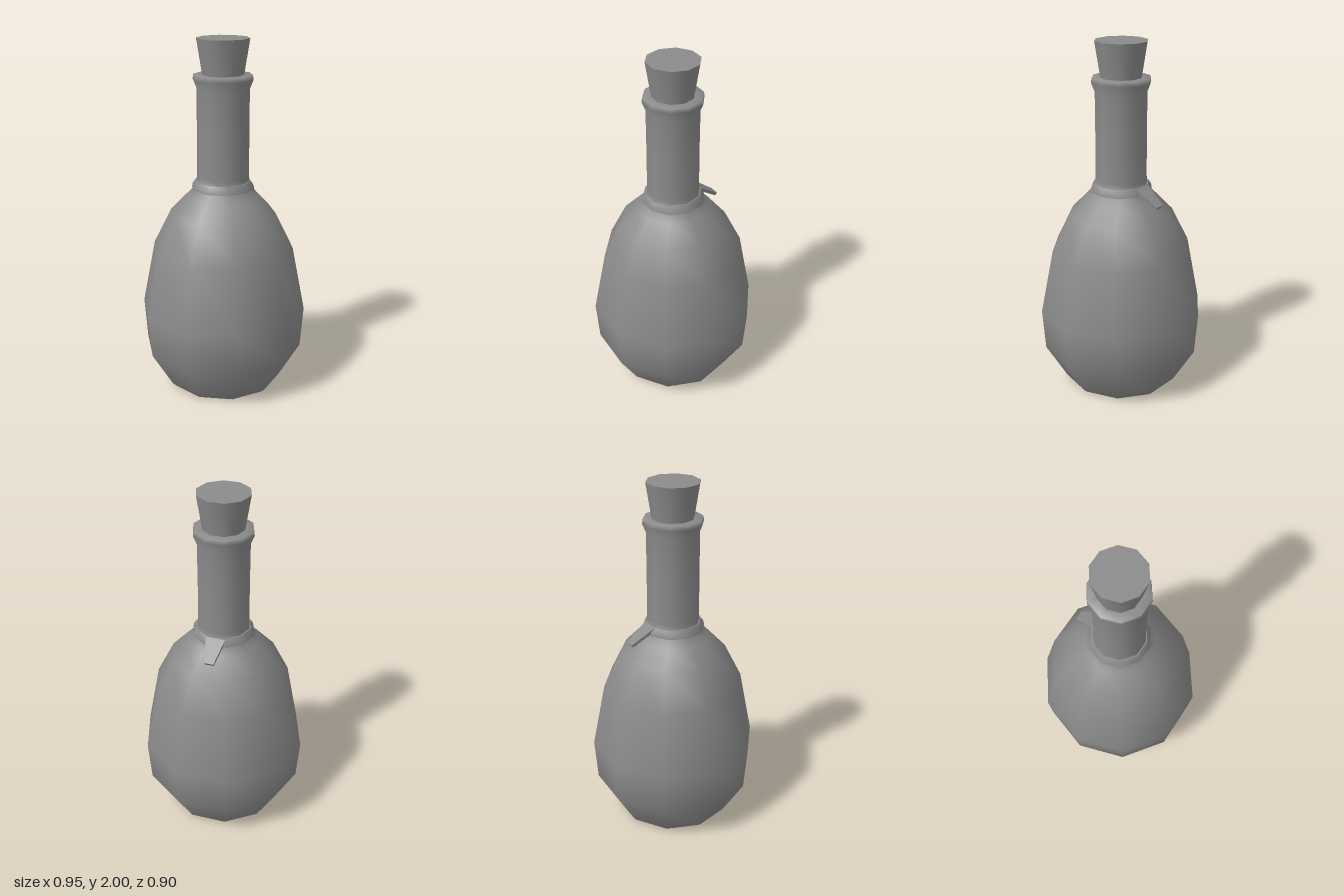
import * as THREE from 'three';
import { toCreasedNormals } from 'three/addons/utils/BufferGeometryUtils.js';

const SIDES = 10;
const material = new THREE.MeshStandardMaterial({ color: 0x8b8b8b });

// Ten-sided turned part with a corner on the x axis; profile runs bottom to top as [radius, y]
function turned(name, profile, creased) {
  const points = profile.map(([r, y]) => new THREE.Vector2(r, y));
  const geometry = new THREE.LatheGeometry(points, SIDES).rotateY(Math.PI / 2);
  const mesh = new THREE.Mesh(creased ? toCreasedNormals(geometry, 0.75) : geometry, material);
  mesh.name = name;
  return mesh;
}

export function createModel() {
  const bottle = new THREE.Group();
  bottle.name = 'bottle';

  // Rounded body, neck and flared lip in one smooth skin
  bottle.add(turned('bottleBody', [
    [0, 0], [0.295, 0], [0.31, 0], [0.332, 0.02], [0.455, 0.225], [0.473, 0.46],
    [0.4, 0.83], [0.3, 1.03], [0.205, 1.13], [0.155, 1.18], [0.147, 1.24],
    [0.146, 1.5], [0.147, 1.73], [0.167, 1.78], [0.163, 1.805], [0.11, 1.805],
  ], false));

  // Tapered stopper, sunk a little into the neck
  bottle.add(turned('stopper', [[0, 1.76], [0.108, 1.76], [0.147, 2], [0, 2]], true));

  // Collar wrapped round the base of the neck
  bottle.add(turned('collar', [
    [0.14, 1.165], [0.177, 1.17], [0.173, 1.19], [0.157, 1.215], [0.14, 1.215],
  ], true));

  // Loose tapered end of the collar, sloping down at the back
  const tabGeometry = new THREE.BoxGeometry(0.108, 0.018, 0.15);
  const position = tabGeometry.attributes.position;
  for (let i = 0; i < position.count; i++) {
    if (position.getZ(i) < 0) position.setX(i, position.getX(i) * 0.48);
  }
  tabGeometry.computeVertexNormals();
  const tab = new THREE.Mesh(tabGeometry, material);
  tab.name = 'collarTab';
  tab.position.set(0, 1.162, -0.207);
  tab.rotation.x = -0.61;
  bottle.add(tab);

  return bottle;
}
